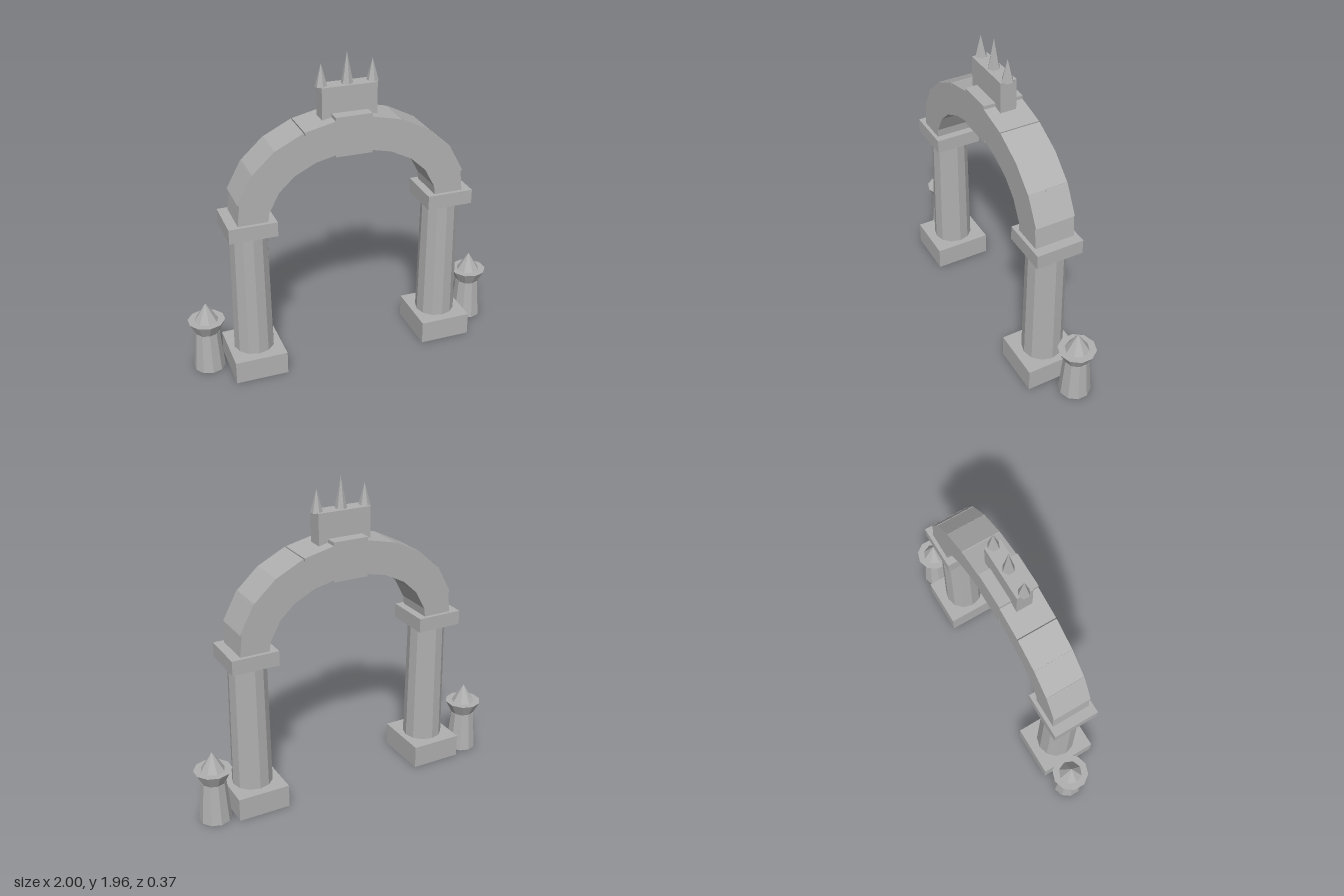
import * as THREE from 'three';

export function createModel() {
  const model = new THREE.Group();
  model.name = 'stoneArch';
  const stone = new THREE.MeshStandardMaterial({ color: 0xb0b0b0 });
  stone.name = 'greyStone';

  const add = (parent, name, geometry, x, y, z = 0, tilt = 0) => {
    // split the vertices so that every facet is flat
    const flat = geometry.toNonIndexed();
    flat.computeVertexNormals();
    const mesh = new THREE.Mesh(flat, stone);
    mesh.name = name;
    mesh.position.set(x, y, z);
    mesh.rotation.z = tilt;
    parent.add(mesh);
    return mesh;
  };
  const box = (w, h, d) => new THREE.BoxGeometry(w, h, d);
  const drum = (top, bottom, h, sides) => new THREE.CylinderGeometry(top, bottom, h, sides);

  // Arch curve: half an ellipse above the pillar caps
  const A = 0.612, B = 0.46, springY = 1.035, depth = 0.244;

  for (const side of [-1, 1]) {
    // Pillar with base and cap
    const pillar = new THREE.Group();
    pillar.name = side > 0 ? 'leftPillar' : 'rightPillar';
    add(pillar, 'pillarBase', box(0.325, 0.145, 0.36), side * 0.617, 0.0725);
    add(pillar, 'pillarShaft', drum(0.115, 0.125, 0.8, 12), side * 0.617, 0.545);
    add(pillar, 'pillarCap', box(0.29, 0.09, 0.29), side * 0.62, 0.99);
    model.add(pillar);

    // Five tilted arch blocks on each side
    for (let i = 0; i < 5; i++) {
      const t = THREE.MathUtils.degToRad(5 + 17 * i);
      const normal = Math.atan2(Math.sin(t) / B, Math.cos(t) / A);
      const thickness = i === 0 ? 0.18 : 0.2;
      add(model, 'archBlock', box(thickness, 0.193, depth),
        side * A * Math.cos(t), springY + B * Math.sin(t), 0, side * normal);
    }

    // Bollard with flared collar and pointed top
    const bollard = new THREE.Group();
    bollard.name = side > 0 ? 'leftBollard' : 'rightBollard';
    bollard.position.set(side * 0.891, 0, -0.07);
    add(bollard, 'bollardBody', drum(0.076, 0.098, 0.256, 10), 0, 0.128);
    add(bollard, 'bollardCollar', drum(0.115, 0.074, 0.08, 10), 0, 0.295);
    add(bollard, 'bollardPoint', new THREE.ConeGeometry(0.075, 0.117, 8), 0, 0.3925);
    model.add(bollard);
  }

  // Keystone and crest with three spikes
  add(model, 'keystone', box(0.222, 0.24, depth + 0.002), 0, 1.495);
  add(model, 'crestBlock', box(0.336, 0.2, 0.1), 0, 1.67);
  for (const i of [-1, 0, 1]) {
    const h = i === 0 ? 0.19 : 0.135;
    add(model, 'crestSpike', new THREE.ConeGeometry(0.037, h, 6), i * 0.155, 1.765 + h / 2);
  }
  return model;
}
